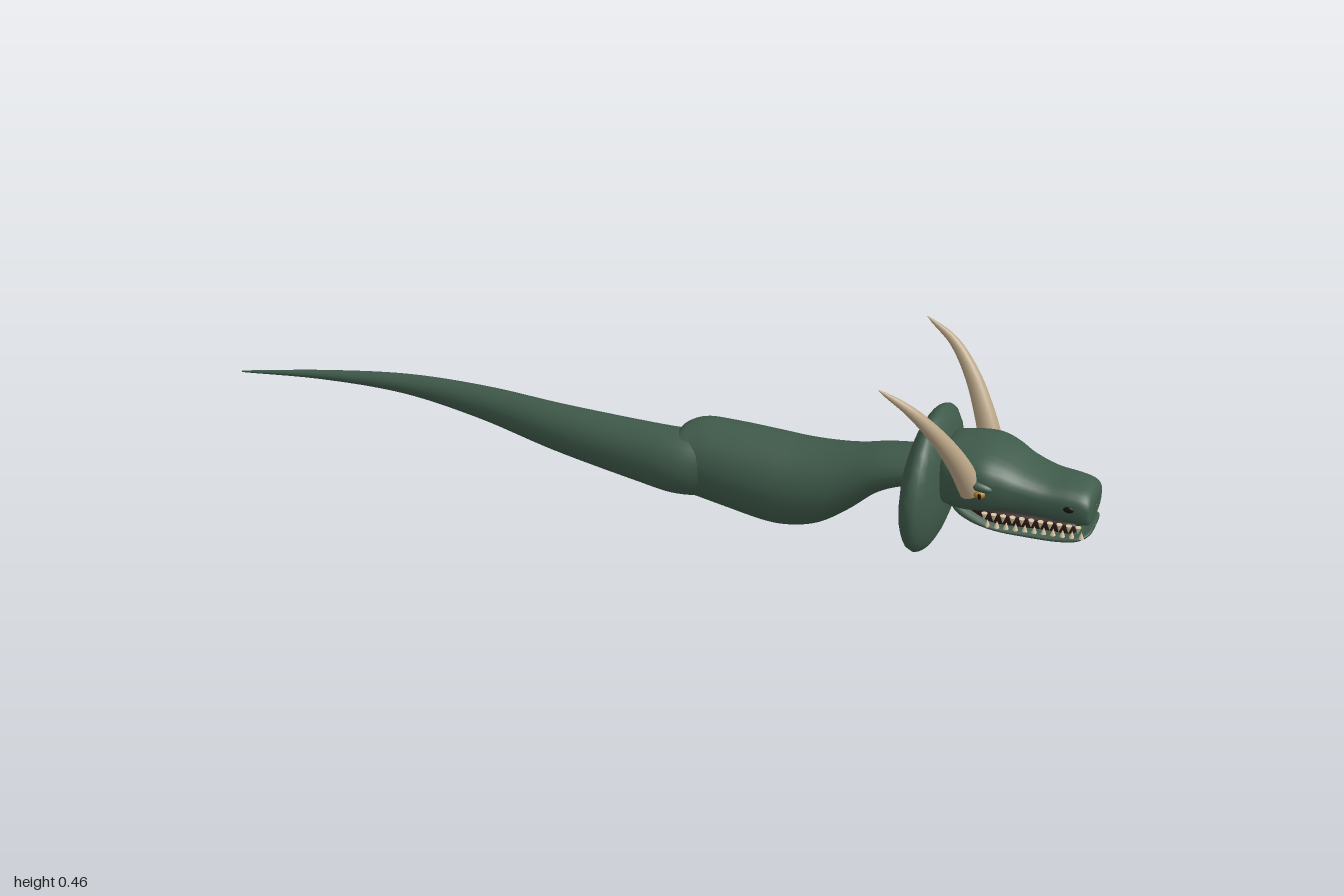
import * as THREE from 'three';

const mat = (name, color, side = THREE.FrontSide) => new THREE.MeshStandardMaterial({ name, color, side });

// Smooth skin through sections [x, bottom, top, zMiddle, halfWidth], rounded-box factor e (2 = ellipse)
function loft(sections, e = 2, rings = 72, sides = 28) {
  const mid = new THREE.CatmullRomCurve3(sections.map(([x, b, t, z]) => new THREE.Vector3(x, (b + t) / 2, z)), false, 'catmullrom', 0.5);
  const rad = new THREE.CatmullRomCurve3(sections.map(([x, b, t, z, w]) => new THREE.Vector3(0, (t - b) / 2, w)), false, 'catmullrom', 0.5);
  const pos = [], index = [];
  const bend = v => Math.sign(v) * Math.pow(Math.abs(v), 2 / e);
  for (let i = 0; i <= rings; i++) {
    const c = mid.getPoint(i / rings), r = rad.getPoint(i / rings);
    for (let j = 0; j < sides; j++) {
      const a = j / sides * Math.PI * 2;
      pos.push(c.x, c.y + Math.max(r.y, 0.0005) * bend(Math.sin(a)), c.z + Math.max(r.z, 0.0005) * bend(Math.cos(a)));
      if (i < rings) {
        const k = (j + 1) % sides, p = i * sides, q = p + sides;
        index.push(p + j, q + j, p + k, q + j, q + k, p + k);
      }
    }
  }
  const g = new THREE.BufferGeometry();
  g.setAttribute('position', new THREE.Float32BufferAttribute(pos, 3));
  g.setIndex(index);
  g.computeVertexNormals();
  return g;
}

// Tube that narrows to a point
function taperedTube(points, radius) {
  const path = new THREE.CatmullRomCurve3(points);
  const g = new THREE.TubeGeometry(path, 20, radius, 14);
  const p = g.attributes.position, uv = g.attributes.uv, v = new THREE.Vector3();
  for (let i = 0; i < p.count; i++) {
    const u = uv.getX(i), c = path.getPointAt(u);
    v.fromBufferAttribute(p, i).sub(c).multiplyScalar(0.02 + 0.98 * Math.pow(1 - u, 0.65)).add(c);
    p.setXYZ(i, v.x, v.y, v.z);
  }
  return g;
}

export function createModel() {
  const model = new THREE.Group();
  const skin = mat('green scales', 0x3f5a4a);
  const bone = mat('horn', 0xb9a485);
  const ivory = mat('teeth', 0xd8c8a4);
  const amber = mat('amber eye', 0xb37a1e);
  const black = mat('black', 0x121412);
  const mouthRed = mat('dark mouth', 0x2c1a18);

  const add = (name, geometry, material, parent = model) => {
    const m = new THREE.Mesh(geometry, material);
    m.name = name;
    parent.add(m);
    return m;
  };
  const blob = (name, material, at, size, parent) => {
    const m = add(name, new THREE.SphereGeometry(1, 20, 14), material, parent);
    m.position.set(...at);
    m.scale.set(...size);
    return m;
  };

  // Tail, swinging sideways to a fine point
  add('tail', loft([
    [-1, 0.08, 0.084, 0.005, 0.002], [-0.8, 0.088, 0.11, -0.027, 0.012], [-0.6, 0.088, 0.133, -0.043, 0.024],
    [-0.4, 0.078, 0.153, -0.026, 0.037], [-0.2, 0.062, 0.168, 0.008, 0.051], [0, 0.045, 0.178, 0.026, 0.064],
    [0.1, 0.036, 0.182, 0.028, 0.07], [0.18, 0.04, 0.18, 0.01, 0.068],
  ]), skin);

  // Body and rising neck
  add('body', loft([
    [0.07, 0.08, 0.13, 0.015, 0.03], [0.09, 0.038, 0.182, 0.012, 0.07], [0.13, 0.025, 0.199, -0.004, 0.086],
    [0.2, 0.015, 0.201, -0.006, 0.095], [0.3, 0.001, 0.201, -0.005, 0.099], [0.36, 0.005, 0.201, -0.004, 0.097],
    [0.42, 0.027, 0.206, -0.003, 0.09], [0.48, 0.073, 0.217, -0.001, 0.077], [0.54, 0.13, 0.232, 0, 0.069],
    [0.6, 0.162, 0.241, 0, 0.066], [0.66, 0.172, 0.25, 0, 0.066], [0.72, 0.175, 0.255, 0, 0.066],
  ]), skin);

  // Broad disc-like neck frill
  blob('neckFrill', skin, [0.648, 0.181, 0], [0.046, 0.152, 0.181]);

  // Head
  const head = new THREE.Group();
  head.name = 'head';
  model.add(head);
  add('skull', loft([
    [0.66, 0.19, 0.24, 0, 0.03], [0.68, 0.16, 0.28, 0, 0.075], [0.72, 0.152, 0.29, 0, 0.092],
    [0.77, 0.16, 0.292, 0, 0.1], [0.81, 0.168, 0.281, 0, 0.092], [0.85, 0.168, 0.262, 0, 0.079],
    [0.9, 0.166, 0.248, 0, 0.069], [0.95, 0.163, 0.245, 0, 0.064], [0.982, 0.162, 0.238, 0, 0.06],
    [0.996, 0.17, 0.222, 0, 0.048], [0.997, 0.195, 0.197, 0, 0.002],
  ], 2.9, 60), skin, head);
  add('lowerJaw', loft([
    [0.7, 0.165, 0.18, 0, 0.04], [0.72, 0.15, 0.18, 0, 0.075], [0.76, 0.136, 0.166, 0, 0.086],
    [0.81, 0.129, 0.15, 0, 0.085], [0.87, 0.125, 0.147, 0, 0.078], [0.93, 0.124, 0.147, 0, 0.071],
    [0.975, 0.13, 0.15, 0, 0.062], [0.997, 0.142, 0.155, 0, 0.042], [0.999, 0.148, 0.15, 0, 0.002],
  ], 2.5, 50), skin, head);
  const mouth = add('mouthInside', loft([
    [0.72, 0.14, 0.18, 0, 0.06], [0.8, 0.14, 0.178, 0, 0.073], [0.9, 0.14, 0.174, 0, 0.058], [0.965, 0.142, 0.17, 0, 0.048], [0.968, 0.15, 0.16, 0, 0.002],
  ], 4, 24), mouthRed, head);

  for (const s of [1, -1]) {
    const side = s > 0 ? 'left' : 'right';
    // Horn sweeping up, out and back
    const horn = [[0.755, 0.222, 0.08], [0.725, 0.295, 0.104], [0.685, 0.365, 0.133], [0.635, 0.423, 0.156], [0.572, 0.463, 0.167]];
    add(side + 'Horn', taperedTube(horn.map(([x, y, z]) => new THREE.Vector3(x, y, s * z)), 0.027), bone, head);

    // Eye with pupil under a brow
    blob(side + 'Eye', amber, [0.775, 0.226, s * 0.097], [0.013, 0.01, 0.012], head);
    blob(side + 'Pupil', black, [0.778, 0.226, s * 0.107], [0.004, 0.007, 0.003], head);
    blob(side + 'Brow', skin, [0.772, 0.242, s * 0.092], [0.03, 0.011, 0.014], head).rotation.z = -0.2;
    blob(side + 'Nostril', black, [0.953, 0.21, s * 0.063], [0.011, 0.007, 0.004], head);

    // Upper and lower rows of teeth along the jaw
    const teeth = new THREE.Group();
    teeth.name = side + 'Teeth';
    head.add(teeth);
    for (let i = 0; i < 11; i++) {
      const t = i / 10, x = 0.785 + 0.19 * t, z = s * (0.081 - 0.026 * t);
      const upper = add('upperTooth', new THREE.ConeGeometry(0.0065, 0.018, 8), ivory, teeth);
      upper.position.set(x, 0.164 - 0.004 * t, z);
      upper.rotation.x = Math.PI;
      const lower = add('lowerTooth', new THREE.ConeGeometry(0.006, 0.016, 8), ivory, teeth);
      lower.position.set(x + 0.008, 0.151, z);
    }
  }
  return model;
}
